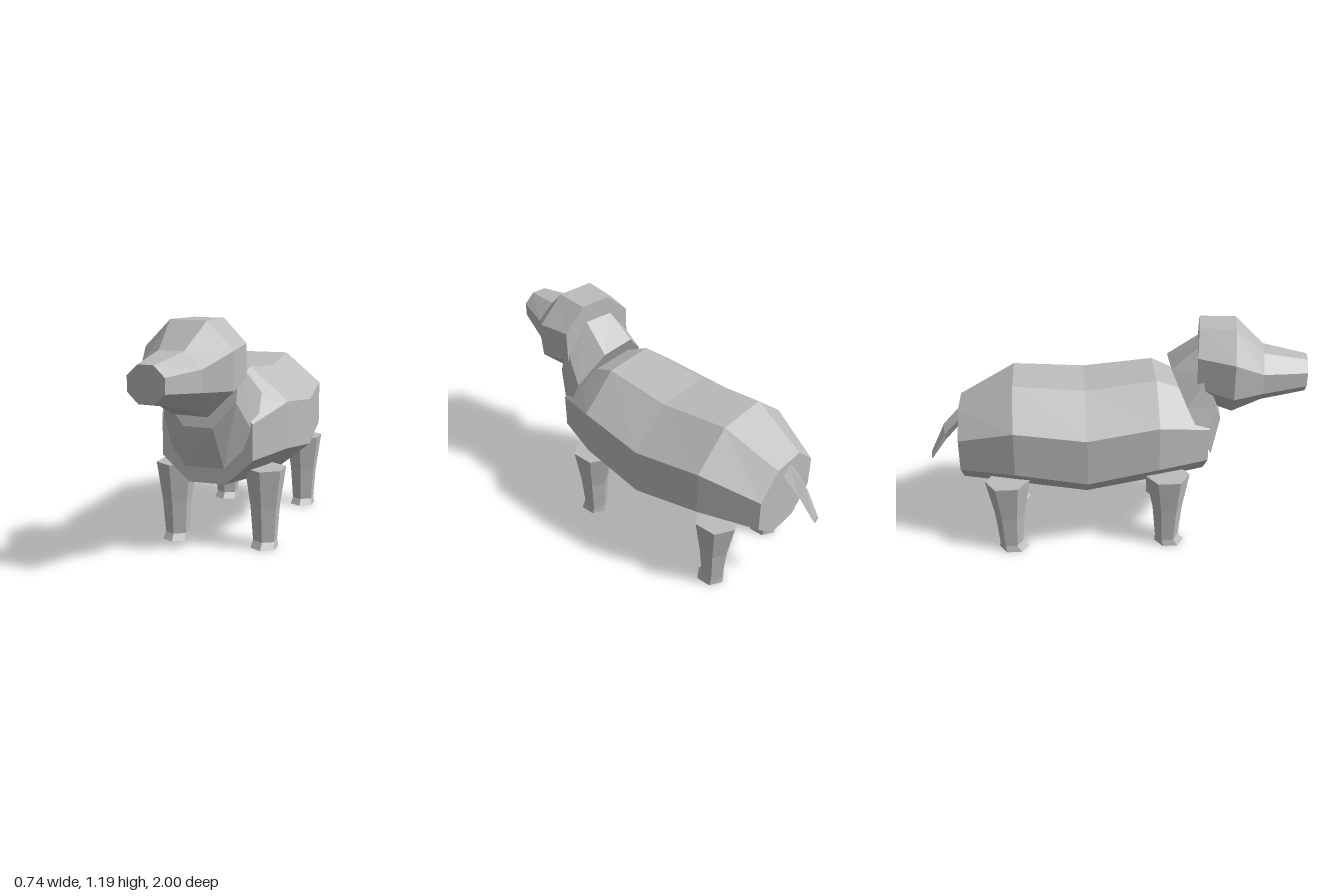
import * as THREE from 'three';

const V = (x, y, z) => new THREE.Vector3(x, y, z);

// polygon ring around centre c; u and v are its half axes, u x v points along the loft
function ring(c, u, v, sides, phase = 0) {
  return Array.from({ length: sides }, (_, i) => {
    const a = phase + (i / sides) * Math.PI * 2;
    return c.clone().addScaledVector(u, Math.cos(a)).addScaledVector(v, Math.sin(a));
  });
}

// octagon with flat sides; u and v reach the middle of the flats
function octagon(c, u, v) {
  const k = 1 / Math.cos(Math.PI / 8);
  return ring(c, u.multiplyScalar(k), v.multiplyScalar(k), 8, Math.PI / 8);
}

// faceted skin through the rings, closed at both ends
function loft(name, rings, material) {
  const pts = [];
  const n = rings[0].length;
  for (let r = 0; r < rings.length - 1; r++) {
    const a = rings[r], b = rings[r + 1];
    for (let i = 0; i < n; i++) {
      const j = (i + 1) % n;
      pts.push(a[i], a[j], b[j], a[i], b[j], b[i]);
    }
  }
  const first = rings[0], last = rings[rings.length - 1];
  for (let i = 1; i < n - 1; i++) {
    pts.push(first[0], first[i + 1], first[i], last[0], last[i], last[i + 1]);
  }
  const geometry = new THREE.BufferGeometry().setFromPoints(pts);
  geometry.computeVertexNormals();
  const mesh = new THREE.Mesh(geometry, material);
  mesh.name = name;
  return mesh;
}

export function createModel() {
  const model = new THREE.Group();
  model.name = 'dog';
  const coat = new THREE.MeshStandardMaterial({ color: 0xbcbcbc });
  coat.name = 'grey coat';
  coat.flatShading = true;

  // body, rump to chest: z, centre y, half width, half height
  const body = [
    [-0.83, 0.57, 0.222, 0.205],
    [-0.54, 0.633, 0.342, 0.288],
    [-0.17, 0.587, 0.372, 0.303],
    [0.2, 0.635, 0.342, 0.293],
    [0.47, 0.59, 0.235, 0.22],
  ].map(([z, y, w, h]) => octagon(V(0, y, z), V(w, 0, 0), V(0, h, 0)));
  model.add(loft('body', body, coat));

  // neck, leaning forward out of the chest
  model.add(loft('neck', [
    octagon(V(0, 0.715, 0.395), V(0.245, 0, 0), V(0, 0.255, -0.115)),
    octagon(V(-0.015, 0.885, 0.5), V(0.19, 0, 0.02), V(0, 0.215, -0.06)),
  ], coat));

  // head and snout, turned a little to its right: x, y, z, half width, half height
  const yaw = 0.15;
  const head = [
    [0, 0.99, 0.43, 0.2, 0.2],
    [-0.035, 0.963, 0.615, 0.235, 0.227],
    [-0.065, 0.93, 0.76, 0.16, 0.13],
    [-0.095, 0.933, 0.985, 0.096, 0.088],
  ].map(([x, y, z, w, h]) => octagon(V(x, y, z), V(w, 0, w * yaw), V(0, h, 0)));
  model.add(loft('head', head, coat));

  // tail, drooping backwards to a narrow tip
  const tail = [
    [-0.01, 0.71, -0.82, 0.045, 0.05],
    [-0.02, 0.605, -0.92, 0.038, 0.05],
    [-0.033, 0.47, -1, 0.022, 0.022],
  ].map(([x, y, z, w, h]) => ring(V(x, y, z), V(-w, 0, 0), V(0, h, 0), 4));
  model.add(loft('tail', tail, coat));

  // legs, foot to top: y, z offset, half width, half depth
  const leg = [
    [0, 0.013, 0.064, 0.08],
    [0.035, 0, 0.056, 0.063],
    [0.22, 0, 0.068, 0.08],
    [0.42, -0.003, 0.093, 0.118],
  ];
  const k = 1 / Math.cos(Math.PI / 6);
  for (const [end, z0] of [['front', 0.262], ['back', -0.588]]) {
    for (const [side, s] of [['Left', 1], ['Right', -1]]) {
      const rings = leg.map(([y, dz, w, d]) =>
        ring(V(s * 0.243, y, z0 + dz), V(0, 0, d), V(w * k, 0, 0), 6));
      model.add(loft(end + side + 'Leg', rings, coat));
    }
  }
  return model;
}
